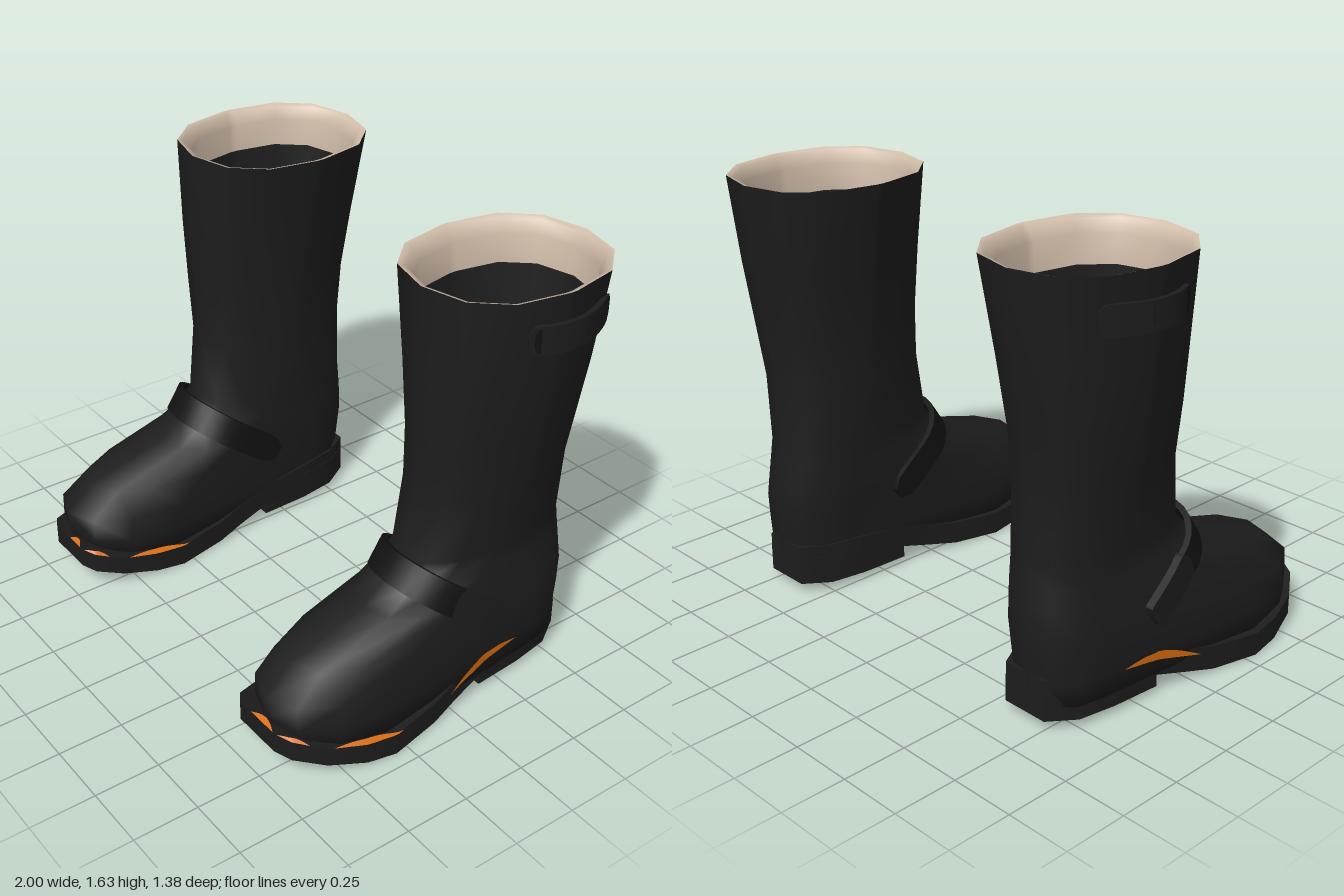
import * as THREE from 'three';
import { toCreasedNormals } from 'three/addons/utils/BufferGeometryUtils.js';

const paint = (name, color, side = THREE.FrontSide) => {
  const m = new THREE.MeshStandardMaterial({ color, side });
  m.name = name;
  return m;
};

// Skin a list of closed cross-sections; ends may be closed with a fan.
function loft(rings, { flip = false, capStart = false, capEnd = false } = {}) {
  const n = rings[0].length, pos = rings.flat(2), idx = [];
  const tri = (a, b, c) => (flip ? idx.push(a, c, b) : idx.push(a, b, c));
  for (let i = 0; i < rings.length - 1; i++)
    for (let j = 0; j < n; j++) {
      const a = i * n + j, b = i * n + (j + 1) % n, c = a + n, d = b + n;
      tri(c, d, b);
      tri(c, b, a);
    }
  const cap = (r, start) => {
    const mid = [0, 1, 2].map(k => rings[r].reduce((s, p) => s + p[k], 0) / n);
    const m = pos.length / 3;
    pos.push(...mid);
    for (let j = 0; j < n; j++) {
      const a = r * n + j, b = r * n + (j + 1) % n;
      start ? tri(m, a, b) : tri(m, b, a);
    }
  };
  if (capStart) cap(0, true);
  if (capEnd) cap(rings.length - 1, false);
  const g = new THREE.BufferGeometry();
  g.setAttribute('position', new THREE.Float32BufferAttribute(pos, 3));
  g.setIndex(idx);
  return g;
}

// Horizontal outline: a rounded heel half joined to a rounded toe half.
function outline([y, zBack, zHeel, zBall, zFront, wBack, wFront, cx]) {
  const pts = [], soft = v => Math.sign(v) * Math.abs(v) ** 0.88;
  for (let i = 0; i < 14; i++) {
    const front = i < 7, a = ((front ? i : i - 1) / 6 - 0.5) * Math.PI;
    const c = Math.abs(Math.cos(a)) < 1e-6 ? 0 : soft(Math.cos(a));
    const w = front ? wFront : wBack;
    const z = front ? zBall + c * (zFront - zBall) : zHeel + c * (zHeel - zBack);
    pts.push([cx + w * soft(Math.sin(a)), y, z]);
  }
  return pts;
}

// y, back z, heel centre z, ball centre z, front z, heel half-width, ball half-width, centre x
const UPPER = [
  [1.63, -0.69, -0.34, -0.31, 0.04, 0.315, 0.315, 0.665],
  [1.3, -0.65, -0.33, -0.3, 0.037, 0.265, 0.265, 0.68],
  [1.05, -0.617, -0.32, -0.29, 0.032, 0.228, 0.228, 0.682],
  [0.85, -0.597, -0.32, -0.27, 0.03, 0.205, 0.205, 0.67],
  [0.6, -0.602, -0.34, -0.22, 0.07, 0.18, 0.18, 0.66],
  [0.53, -0.61, -0.36, -0.14, 0.14, 0.178, 0.18, 0.663],
  [0.45, -0.617, -0.38, -0.02, 0.25, 0.18, 0.192, 0.668],
  [0.365, -0.622, -0.4, 0.16, 0.56, 0.182, 0.203, 0.675],
  [0.27, -0.615, -0.4, 0.28, 0.677, 0.178, 0.225, 0.68],
  [0.18, -0.608, -0.41, 0.33, 0.668, 0.168, 0.236, 0.682],
  [0.09, -0.595, -0.41, 0.33, 0.645, 0.16, 0.23, 0.682],
];
const LINING = [
  [1.63, -0.69, -0.34, -0.31, 0.04, 0.315, 0.315, 0.665],
  [1.622, -0.667, -0.34, -0.31, 0.018, 0.292, 0.292, 0.667],
  [1.575, -0.645, -0.34, -0.31, -0.005, 0.268, 0.268, 0.67],
  [1.47, -0.64, -0.34, -0.31, -0.01, 0.265, 0.265, 0.673],
];
const INSIDE = [
  LINING[3],
  [1.05, -0.6, -0.32, -0.29, 0.012, 0.21, 0.21, 0.682],
  [0.6, -0.58, -0.34, -0.22, 0.04, 0.16, 0.16, 0.66],
  [0.22, -0.57, -0.38, -0.1, 0.15, 0.15, 0.15, 0.67],
];

// z, half-width, top y, bottom y, centre x
const SOLE = [
  [-0.605, 0.09, 0.2, 0.09, 0.665], [-0.5, 0.15, 0.197, 0.085, 0.668],
  [-0.35, 0.172, 0.19, 0.085, 0.67], [-0.16, 0.184, 0.167, 0.08, 0.675],
  [-0.02, 0.2, 0.132, 0.042, 0.68], [0.1, 0.225, 0.107, 0.016, 0.683],
  [0.3, 0.257, 0.093, 0.004, 0.685], [0.42, 0.25, 0.105, 0.02, 0.682],
  [0.56, 0.215, 0.126, 0.05, 0.672], [0.66, 0.155, 0.158, 0.076, 0.66],
  [0.692, 0.1, 0.17, 0.09, 0.655],
];
const HEEL = [
  [-0.605, 0.092, 0.15, 0.045, 0.665], [-0.5, 0.154, 0.15, 0.037, 0.668],
  [-0.35, 0.174, 0.15, 0.033, 0.67], [-0.15, 0.182, 0.14, 0.03, 0.675],
];
const slab = rows => loft(rows.map(([z, w, t, b, cx]) =>
  [[cx - w, b, z], [cx + w, b, z], [cx + w, t, z], [cx - w, t, z]]), { flip: true, capStart: true, capEnd: true });

function soleAt(z) {
  const i = Math.max(1, SOLE.findIndex(r => r[0] >= z)), a = SOLE[i - 1], b = SOLE[i];
  const t = (z - a[0]) / (b[0] - a[0]);
  return a.map((v, k) => v + (b[k] - v) * t);
}

// Flat band along a smooth path: fixed width direction, rounded ends.
function band(points, across, half, thick) {
  const curve = new THREE.CatmullRomCurve3(points.map(p => new THREE.Vector3(...p)));
  const rings = [], steps = 24;
  for (let i = 0; i <= steps; i++) {
    const t = i / steps, p = curve.getPointAt(t), tan = curve.getTangentAt(t);
    const out = new THREE.Vector3().crossVectors(tan, across).normalize().multiplyScalar(thick / 2);
    const e = Math.min(1, Math.min(t, 1 - t) * 12);
    const h = half * (0.45 + 0.55 * Math.sqrt(1 - (1 - e) ** 2));
    const at = (u, v) => p.clone().addScaledVector(across, u * h).addScaledVector(out, v).toArray();
    rings.push([at(-1, -1), at(1, -1), at(1, 1), at(-1, 1)]);
  }
  return loft(rings, { flip: true, capStart: true, capEnd: true });
}

// Leaf-shaped sliver of welt between two edges that meet at both ends.
function sliver(pointAt, [dx, dy, dz]) {
  const pos = [], idx = [], n = 12;
  for (let i = 0; i <= n; i++) {
    const [x, y, z] = pointAt(i / n), h = Math.sin(Math.PI * i / n);
    pos.push(x, y, z, x + dx * h, y + dy * h, z + dz * h);
    if (i < n) idx.push(2 * i, 2 * i + 2, 2 * i + 1, 2 * i + 1, 2 * i + 2, 2 * i + 3);
  }
  const g = new THREE.BufferGeometry();
  g.setAttribute('position', new THREE.Float32BufferAttribute(pos, 3));
  g.setIndex(idx);
  return g;
}

export function createModel() {
  const leather = paint('black leather', 0x1d1d1d);
  const strapBlack = paint('strap black', 0x121212);
  const cream = paint('cream lining', 0xd2beaa, THREE.DoubleSide);
  const orange = paint('orange welt', 0xd96c0e, THREE.DoubleSide);
  const model = new THREE.Group();

  for (const side of [1, -1]) {
    const boot = new THREE.Group();
    boot.name = side > 0 ? 'leftBoot' : 'rightBoot';
    model.add(boot);
    // Mirrored geometry has its corner order reversed to keep faces outward.
    const add = (name, g, mat, crease) => {
      if (side < 0) {
        g.scale(-1, 1, 1);
        g.index.array.reverse();
      }
      g.computeVertexNormals();
      const mesh = new THREE.Mesh(crease ? toCreasedNormals(g, crease) : g, mat);
      mesh.name = name;
      boot.add(mesh);
    };

    // Shaft and foot, lining and hollow inside
    add('upper', loft(UPPER.map(outline), { capEnd: true }), leather);
    add('lining', loft(LINING.map(outline), { flip: true }), cream);
    add('inside', loft(INSIDE.map(outline), { flip: true, capEnd: true }), leather);

    // Sole and heel
    add('sole', slab(SOLE), leather, 0.7);
    add('heel', slab(HEEL), leather, 0.7);

    // Instep strap running down both sides, with a tab on the outer side
    const half = [[0.2, 0.335, -0.195], [0.198, 0.425, -0.075], [0.182, 0.5, 0.025], [0.11, 0.55, 0.095]];
    const path = [...half.map(([x, y, z]) => [0.668 - x, y, z]), [0.665, 0.565, 0.12],
      ...half.reverse().map(([x, y, z]) => [0.668 + x, y, z])];
    const across = new THREE.Vector3(0, -0.83, 0.55).normalize();
    add('instepStrap', band(path, across, 0.056, 0.022), strapBlack, 0.7);
    add('instepTab', band([[0.857, 0.475, -0.01], [0.872, 0.405, -0.1], [0.878, 0.325, -0.205]], across, 0.058, 0.03), leather, 0.7);

    // Pull strap near the top, with a buckle
    const up = new THREE.Vector3(0, 1, 0);
    add('topStrap', band([[0.945, 1.485, -0.175], [0.985, 1.485, -0.26], [0.99, 1.485, -0.38],
      [0.955, 1.487, -0.48], [0.915, 1.49, -0.55]], up, 0.052, 0.018), leather, 0.7);
    add('topBuckle', band([[0.957, 1.485, -0.19], [0.989, 1.485, -0.27], [0.991, 1.485, -0.39]], up, 0.045, 0.014), strapBlack, 0.7);

    // Welt showing along the outer waist, and on the left-hand side of each toe
    const along = (z0, z1, dir, gap, drop) => t => {
      const z = z0 + (z1 - z0) * t, [, w, top, , cx] = soleAt(z);
      return [cx + dir * (w + gap), top - drop, z];
    };
    add('weltWaist', sliver(along(0.03, -0.32, 1, 0.014, 0.018), [0, 0.034, 0]), orange);
    add('weltFront', sliver(along(0.54, 0.27, side, 0.003, 0), [-side * 0.018, 0.013, 0]), orange);
    add('weltToeSide', sliver(along(0.688, 0.61, side, 0.003, 0), [-side * 0.015, 0.013, 0]), orange);
    const toe = side > 0 ? [0.62, 0.75] : [0.57, 0.65];
    add('weltToe', sliver(t => [toe[0] + (toe[1] - toe[0]) * t, 0.171, 0.692], [0, 0.011, -0.018]), orange);
  }
  return model;
}
